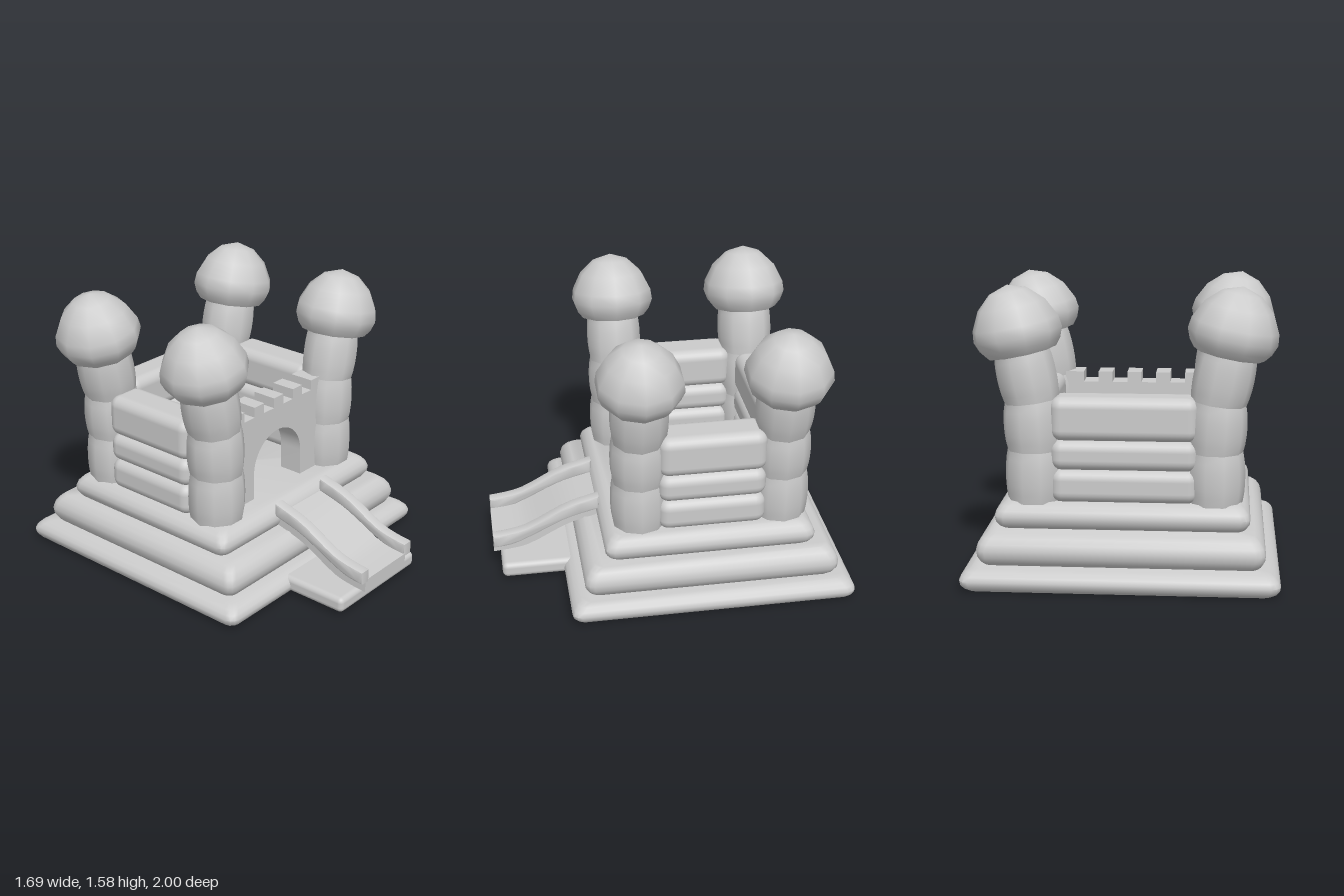
import * as THREE from 'three';
import { toCreasedNormals } from 'three/addons/utils/BufferGeometryUtils.js';
import { RoundedBoxGeometry } from 'three/addons/geometries/RoundedBoxGeometry.js';

const material = new THREE.MeshStandardMaterial({ color: 0xcccccc, roughness: 0.7 });

function add(parent, name, geometry, x = 0, y = 0, z = 0) {
  const mesh = new THREE.Mesh(geometry, material);
  mesh.name = name;
  mesh.position.set(x, y, z);
  parent.add(mesh);
  return mesh;
}

// Closed solid through a stack of rings of [x, y, z] points, bottom to top
function loft(rings, crease = 0.8) {
  const n = rings[0].length, pos = [], index = [];
  rings.forEach((ring) => ring.forEach((p) => pos.push(...p)));
  for (let j = 0; j < rings.length - 1; j++) {
    for (let i = 0; i < n; i++) {
      const a = j * n + i, b = j * n + (i + 1) % n;
      index.push(a, a + n, b, b, a + n, b + n);
    }
  }
  const top = (rings.length - 1) * n;
  for (let i = 1; i < n - 1; i++) {
    index.push(0, i, i + 1, top, top + i + 1, top + i);
  }
  const g = new THREE.BufferGeometry();
  g.setAttribute('position', new THREE.Float32BufferAttribute(pos, 3));
  g.setIndex(index);
  return toCreasedNormals(g, crease);
}

// Rounded rectangle ring at height y
function rectRing(hx, hz, r, y) {
  const pts = [], steps = 3;
  for (let q = 0; q < 4; q++) {
    const sx = q === 0 || q === 3 ? 1 : -1, sz = q < 2 ? 1 : -1;
    for (let k = 0; k <= steps; k++) {
      const a = (q + k / steps) * Math.PI / 2;
      pts.push([sx * (hx - r) + r * Math.cos(a), y, sz * (hz - r) + r * Math.sin(a)]);
    }
  }
  return pts;
}

// Inflated slab of the stepped base
function tier(hx, hz, y0, y1) {
  const profile = [[0, 0.04], [0.12, 0.02], [0.3, 0.004], [0.5, 0], [0.7, 0.01], [0.87, 0.03], [1, 0.058]];
  return loft(profile.map(([t, inset]) =>
    rectRing(hx - inset, hz - inset, 0.05, y0 + t * (y1 - y0))));
}

// Tower of three bulging sections that leans outward, with a domed cap
function tower(side, z) {
  const group = new THREE.Group();
  group.name = side > 0 ? 'leftTower' : 'rightTower';
  // outward offset, height, tilt at each seam
  const seams = [[0.486, 0.42, 0], [0.486, 0.7, 0.01], [0.5, 0.965, 0.13], [0.553, 1.235, 0.2]];
  for (let s = 0; s < 3; s++) {
    const rings = [];
    for (let k = 0; k <= 6; k++) {
      const t = k / 6;
      const [cx, cy, tilt] = seams[s].map((v, i) => THREE.MathUtils.lerp(v, seams[s + 1][i], t));
      const r = 0.149 + 0.013 * Math.pow(Math.sin(Math.PI * t), 0.7);
      const ring = [];
      for (let i = 0; i < 10; i++) {
        const a = i * Math.PI / 5, u = r * Math.cos(a);
        ring.push([side * cx + u * Math.cos(tilt), cy - side * u * Math.sin(tilt), z + r * Math.sin(a)]);
      }
      rings.push(ring);
    }
    add(group, 'towerSection', loft(rings));
  }
  const dome = [[0, -0.01], [0.19, -0.005], [0.222, 0.035], [0.243, 0.09], [0.235, 0.15],
    [0.185, 0.25], [0.105, 0.325], [0, 0.36]].map((p) => new THREE.Vector2(...p));
  const cap = new THREE.LatheGeometry(dome, 10);
  cap.rotateY(Math.PI / 2);
  add(group, 'towerCap', toCreasedNormals(cap, 0.85), side * 0.553, 1.23, z).rotation.z = -side * 0.2;
  return group;
}

// Front wall outline with battlements and an arched doorway
function gateWall() {
  const s = new THREE.Shape();
  s.moveTo(-0.42, 0.42);
  s.lineTo(-0.42, 1);
  for (let i = 0; i < 4; i++) {
    const c = -0.256 + i * 0.169, h = 0.043;
    s.lineTo(c - h, 1);
    s.lineTo(c - h, 0.94);
    s.lineTo(c + h, 0.94);
    s.lineTo(c + h, 1);
  }
  s.lineTo(0.42, 1);
  s.lineTo(0.42, 0.42);
  s.lineTo(0.203, 0.42);
  s.lineTo(0.203, 0.585);
  s.absarc(-0.007, 0.585, 0.21, 0, Math.PI, false);
  s.lineTo(-0.217, 0.42);
  const g = new THREE.ExtrudeGeometry(s, { depth: 0.145, bevelEnabled: false, curveSegments: 16 });
  return toCreasedNormals(g, 0.5);
}

// Curved strip of the slide: [z, y] points along top and bottom, given a width in x
function slideStrip(topPts, bottomPts, width, bevel) {
  const curve = (pts) => new THREE.CatmullRomCurve3(
    pts.map(([z, y]) => new THREE.Vector3(z, y, 0))).getPoints(14);
  const outline = [...curve(bottomPts), ...curve(topPts).reverse()].map((p) => new THREE.Vector2(p.x, p.y));
  const g = new THREE.ExtrudeGeometry(new THREE.Shape(outline), {
    depth: width - 2 * bevel, bevelEnabled: bevel > 0, bevelSize: bevel, bevelThickness: bevel,
    bevelOffset: -bevel, bevelSegments: 2,
  });
  g.translate(0, 0, bevel - width / 2);
  g.rotateY(-Math.PI / 2);
  return toCreasedNormals(g, 0.7);
}

export function createModel() {
  const model = new THREE.Group();
  model.name = 'bouncyCastle';

  // Stepped base
  add(model, 'baseTierLower', tier(0.845, 0.803, 0, 0.12), 0, 0, -0.197);
  add(model, 'baseTierMiddle', tier(0.767, 0.72, 0.115, 0.29), 0, 0, -0.195);
  add(model, 'baseTierUpper', tier(0.685, 0.595, 0.285, 0.43), 0, 0, -0.195);

  // Towers and walls
  const castle = new THREE.Group();
  castle.name = 'castle';
  castle.position.x = -0.0075;
  model.add(castle);
  for (const side of [-1, 1]) {
    for (const z of [-0.615, 0.188]) castle.add(tower(side, z));
  }
  add(castle, 'gateWall', gateWall(), 0, 0, 0.085);
  for (const [y0, y1] of [[0.425, 0.608], [0.602, 0.768], [0.762, 1]]) {
    const h = y1 - y0, y = (y0 + y1) / 2;
    for (const side of [-1, 1]) {
      add(castle, 'sideWallTube', new RoundedBoxGeometry(0.235, h, 0.605, 3, 0.06), side * 0.513, y, -0.21);
    }
    add(castle, 'backWallTube', new RoundedBoxGeometry(0.79, h, 0.215, 3, 0.06), 0, y, -0.635);
  }

  // Slide with side rails and landing mat
  const slide = new THREE.Group();
  slide.name = 'slide';
  model.add(slide);
  const bedBottom = [[0.385, 0.305], [0.56, 0.255], [0.8, 0.135], [0.9, 0.115], [1, 0.105]];
  const bedTop = bedBottom.map(([z, y]) => [z, y + 0.075]);
  const railBottom = [[0.385, 0.375], [0.57, 0.325], [0.78, 0.225], [0.89, 0.18], [1, 0.165]];
  const railTop = [[0.385, 0.455], [0.57, 0.4], [0.8, 0.28], [0.89, 0.255], [1, 0.24]];
  add(slide, 'slideBed', slideStrip(bedTop, bedBottom, 0.38, 0), 0);
  for (const x of [-0.191, 0.215]) {
    add(slide, 'slideRail', slideStrip(railTop, railBottom, 0.07, 0.012), x);
  }
  add(slide, 'landingMat', new RoundedBoxGeometry(0.7, 0.09, 0.46, 3, 0.03), 0, 0.065, 0.73);
  return model;
}
